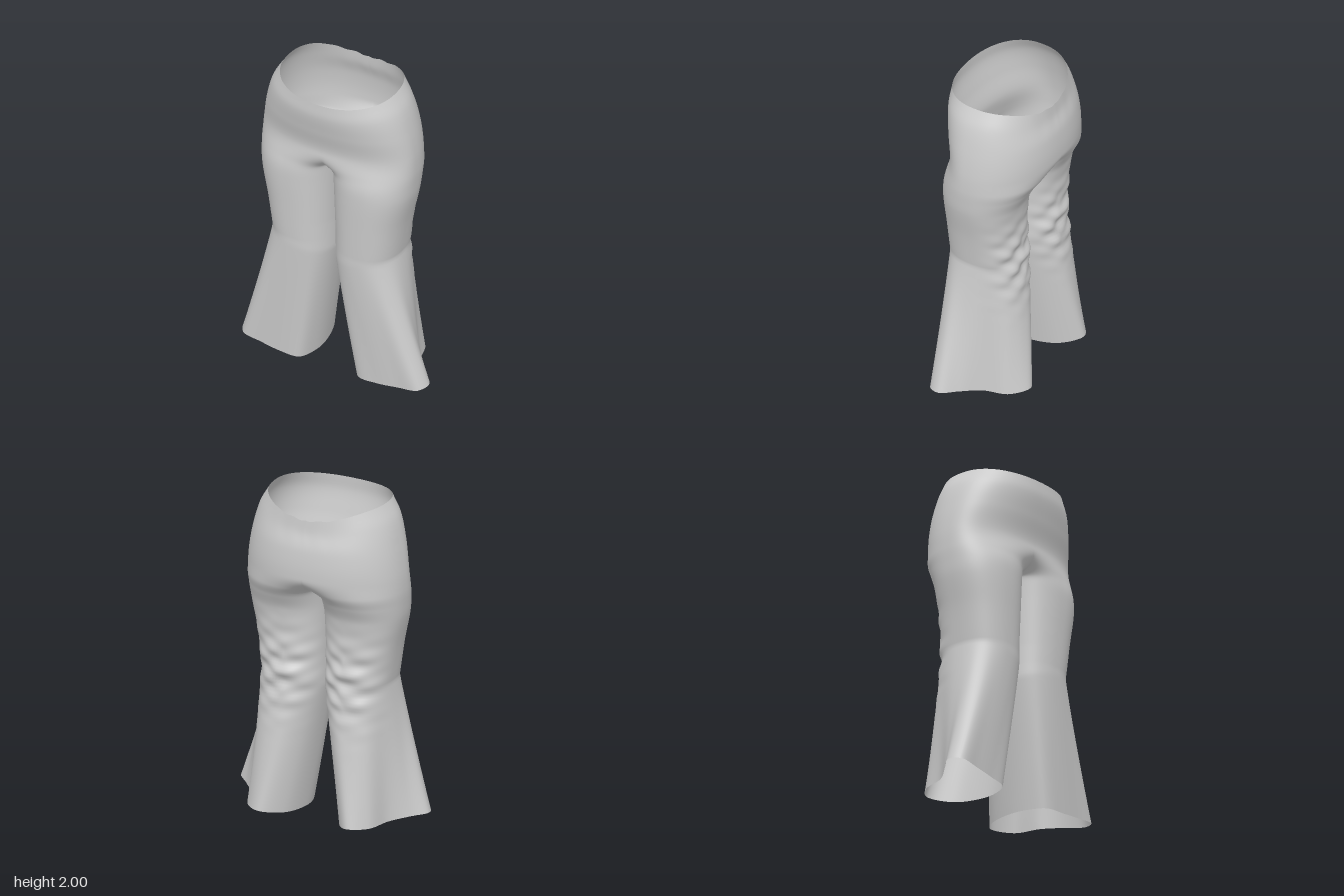
import * as THREE from 'three';
import { mergeVertices } from 'three/addons/utils/BufferGeometryUtils.js';

const WAIST = 2.0, CROTCH = 1.43, SEAT = 1.57, KNEE = 0.88, N = 88;
const { smoothstep, lerp, clamp } = THREE.MathUtils;

// Outline by height: [y, outer half width, front z, back z]
const OUTLINE = [
  [2.0, 0.367, 0.33, -0.285], [1.9, 0.425, 0.332, -0.295], [1.75, 0.468, 0.305, -0.325],
  [1.6, 0.493, 0.27, -0.335], [1.48, 0.5, 0.288, -0.318], [1.4, 0.497, 0.292, -0.262],
  [1.3, 0.487, 0.287, -0.212], [1.1, 0.445, 0.272, -0.19], [0.88, 0.412, 0.258, -0.2],
];

// Flared hem of one leg, from the inseam around the front to the outer tip and back
const HEM = new THREE.CatmullRomCurve3([
  [0.135, 0.005, -0.02], [0.15, 0, 0.1], [0.2, 0, 0.19], [0.33, 0.01, 0.205],
  [0.46, 0.028, 0.203], [0.585, 0.045, 0.193], [0.618, 0.055, 0.115], [0.54, 0.05, 0.025],
  [0.45, 0.04, -0.08], [0.4, 0.04, -0.23], [0.29, 0.045, -0.308], [0.18, 0.02, -0.2],
].map((p) => new THREE.Vector3(...p)), true);

// Smooth interpolation of the outline at height y
function outlineAt(y) {
  let i = 0;
  while (i < OUTLINE.length - 2 && y < OUTLINE[i + 1][0]) i++;
  const row = (k) => OUTLINE[clamp(k, 0, OUTLINE.length - 1)];
  const slope = (k, c) => (row(k + 1)[c] - row(k - 1)[c]) / (row(k + 1)[0] - row(k - 1)[0]);
  const a = row(i), b = row(i + 1), h = b[0] - a[0], t = (y - a[0]) / h;
  return [1, 2, 3].map((c) =>
    (2 * t ** 3 - 3 * t * t + 1) * a[c] + (t ** 3 - 2 * t * t + t) * h * slope(i, c) +
    (3 * t * t - 2 * t ** 3) * b[c] + (t ** 3 - t * t) * h * slope(i + 1, c));
}

const power = (v, p) => Math.sign(v) * Math.abs(v) ** p;

// Point on the upper surface: a half ellipse at the hips closes into a full leg ring
function upperPoint(y, angle) {
  const [xo, zf, zb] = outlineAt(y);
  const cz = 0.03;
  const depth = (v) => cz + (v > 0 ? zf - cz : cz - zb) * v;
  const turn = Math.abs(angle) / Math.PI;

  // hips
  const hipAngle = Math.sign(angle) * Math.PI / 2 * (1.6 * turn - 0.6 * turn * turn);
  const hipX = xo * power(Math.max(0, Math.cos(hipAngle)), 0.9);
  const hipZ = depth(power(Math.sin(hipAngle), 0.9));

  // leg
  const xi = 0.01 * clamp((CROTCH - y) / 0.43, 0, 1);
  const legX = (xi + xo) / 2 + (xo - xi) / 2 * power(Math.cos(angle), 0.85);
  const legZ = depth(power(Math.sin(angle), 0.85));

  // rounded saddle at the crotch, softening away from the seam
  const u = (y - CROTCH) / (SEAT - CROTCH);
  const m = Math.min(1, (u + Math.hypot(u, 0.65 * (1 - turn))) / 2);
  const hip = Math.sqrt(1 - (1 - m) ** 2) * smoothstep(y, KNEE, CROTCH);
  const p = new THREE.Vector3(lerp(legX, hipX, hip), y, lerp(legZ, hipZ, hip));

  // dipped waistline, lower at the back with a slight ripple
  const w = smoothstep(y, 1.72, WAIST);
  const n = p.z > cz ? (p.z - cz) / (zf - cz) : (cz - p.z) / (cz - zb);
  p.y -= w * (p.z > cz ? 0.03 * n * n : 0.068 * n ** 4 + 0.005 * n ** 8 * Math.sin(p.x * 55));
  return p;
}

// Slanting cloth folds behind the knee
function addFolds(p, angle, y, side) {
  const back = Math.max(0, -Math.sin(angle));
  const zone = Math.exp(-(((y - 0.9) / 0.22) ** 2));
  const slant = Math.abs(p.x - 0.2) * 20 + side * p.x * 6;
  p.z += back * zone * (0.01 * Math.sin(y * 38 + slant) + 0.006 * Math.sin(y * 63 - slant * 1.3));
}

function surfacePoint(y, s, side) {
  const angle = Math.PI * (1 - 2 * s);
  const p = upperPoint(Math.max(y, KNEE), angle);
  // the flare starts at the knee outside and a little lower at the inseam
  const start = KNEE - 0.04 * (1 - Math.cos(angle));
  const flare = clamp((start - y) / start, 0, 1) ** (1 + 0.1 * Math.max(0, Math.sin(angle)));
  // turn the flare's tip towards the front of the knee
  const hem = HEM.getPoint((s + 0.1 * Math.sin(Math.PI * s) ** 2) % 1);
  p.x = lerp(p.x, hem.x, flare);
  p.z = lerp(p.z, hem.z, flare);
  if (y < KNEE) p.y = y + hem.y * flare;
  addFolds(p, angle, y, side);
  // the body sits slightly off centre, while the hem tips are even
  const shift = -0.018 * (1 - flare * clamp((p.x - 0.13) / 0.45, 0, 1));
  return [side * p.x + shift, p.y, p.z];
}

function buildTrousers() {
  // row heights, closer together near the crotch
  const rows = [];
  for (let i = 0; i <= 44; i++) rows.push(CROTCH + (WAIST - CROTCH) * (1 - i / 44) ** 1.7);
  for (let i = 1; i <= 44; i++) rows.push(lerp(CROTCH, KNEE, (i / 44) ** 1.2));
  for (let i = 1; i <= 44; i++) rows.push(lerp(KNEE, 0, i / 44));

  const positions = [], index = [];
  for (const side of [1, -1]) {
    const base = positions.length / 3;
    rows.forEach((y, r) => {
      for (let i = 0; i <= N; i++) {
        positions.push(...surfacePoint(y, i / N, side));
        if (r === rows.length - 1 || i === N) continue;
        const a = base + r * (N + 1) + i, b = a + N + 1;
        if (side > 0) index.push(a, b, a + 1, b, b + 1, a + 1);
        else index.push(a, a + 1, b, b, a + 1, b + 1);
      }
    });
  }
  let geometry = new THREE.BufferGeometry();
  geometry.setAttribute('position', new THREE.Float32BufferAttribute(positions, 3));
  geometry.setIndex(index);
  // weld the centre seams and inseams
  geometry = mergeVertices(geometry, 1e-5);
  geometry.computeVertexNormals();
  return geometry;
}

export function createModel() {
  const group = new THREE.Group();
  group.name = 'flaredTrousers';
  const cloth = new THREE.MeshStandardMaterial({ color: 0xcccccc, side: THREE.DoubleSide });
  const trousers = new THREE.Mesh(buildTrousers(), cloth);
  trousers.name = 'trousers';
  group.add(trousers);
  return group;
}
